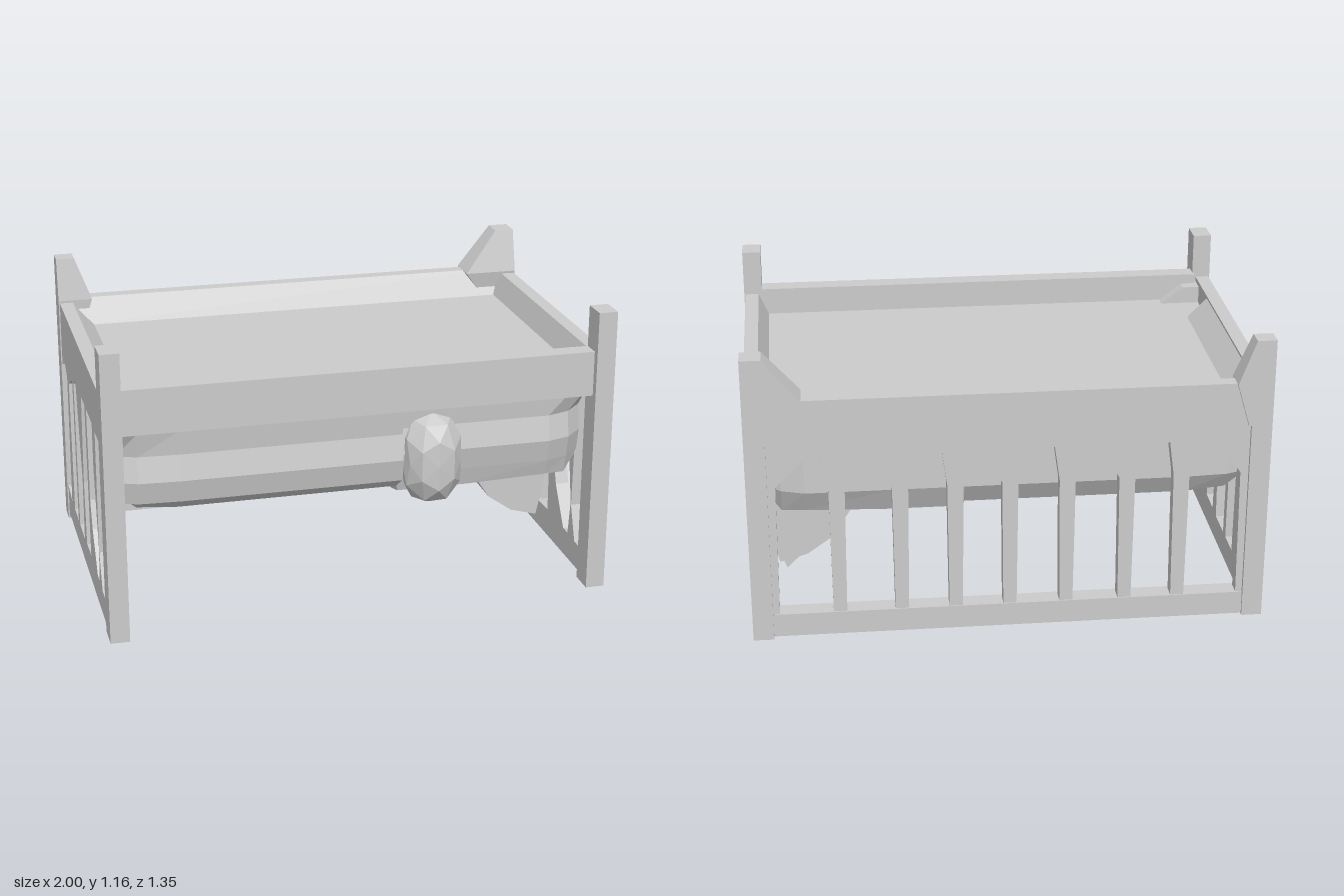
import * as THREE from 'three';

const material = new THREE.MeshStandardMaterial({ color: 0xcccccc, flatShading: true, side: THREE.DoubleSide });

export function createModel() {
  const model = new THREE.Group();

  const add = (name, geometry) => {
    const mesh = new THREE.Mesh(geometry, material);
    mesh.name = name;
    model.add(mesh);
    return mesh;
  };

  const box = (name, x0, x1, y0, y1, z0, z1) => {
    const mesh = add(name, new THREE.BoxGeometry(x1 - x0, y1 - y0, z1 - z0));
    mesh.position.set((x0 + x1) / 2, (y0 + y1) / 2, (z0 + z1) / 2);
  };

  const toShape = (points, holes = []) => {
    const shape = new THREE.Shape(points.map(p => new THREE.Vector2(...p)));
    shape.holes = holes.map(h => new THREE.Path(h.map(p => new THREE.Vector2(...p))));
    return shape;
  };

  // Outline in x,y pushed from z0 to z1
  const prismZ = (name, points, z0, z1, holes) => {
    const g = new THREE.ExtrudeGeometry(toShape(points, holes), { depth: z1 - z0, bevelEnabled: false });
    add(name, g.translate(0, 0, z0));
  };

  // Outline in z,y pushed from x0 to x1
  const prismX = (name, points, x0, x1, holes) => {
    const g = new THREE.ExtrudeGeometry(toShape(points, holes), { depth: x1 - x0, bevelEnabled: false });
    add(name, g.rotateY(-Math.PI / 2).translate(x1, 0, 0));
  };

  // Block whose bottom and top rectangles [x0, x1, z0, z1] differ
  const taper = (name, y0, y1, bottom, top) => {
    const g = new THREE.BoxGeometry(1, 1, 1);
    const p = g.attributes.position;
    for (let i = 0; i < p.count; i++) {
      const up = p.getY(i) > 0;
      const r = up ? top : bottom;
      p.setXYZ(i, p.getX(i) > 0 ? r[1] : r[0], up ? y1 : y0, p.getZ(i) > 0 ? r[3] : r[2]);
    }
    add(name, g);
  };

  // Skin a row of closed z,y cross-sections along x, with end caps
  const loft = (name, sections) => {
    const pos = [];
    const tri = (...corners) => corners.forEach(c => pos.push(...c));
    const rings = sections.map(([x, pts]) => pts.map(([z, y]) => [x, y, z]));
    const n = rings[0].length;
    rings.forEach((ring, r) => {
      const last = r === rings.length - 1;
      const centre = [ring[0][0], 0.72, 0];
      for (let i = 0; i < n; i++) {
        const j = (i + 1) % n;
        if (r === 0) tri(centre, ring[j], ring[i]);
        if (last) tri(centre, ring[i], ring[j]);
        else {
          const next = rings[r + 1];
          tri(ring[i], ring[j], next[i]);
          tri(ring[j], next[j], next[i]);
        }
      }
    });
    const g = new THREE.BufferGeometry();
    g.setAttribute('position', new THREE.Float32BufferAttribute(pos, 3));
    g.computeVertexNormals();
    add(name, g);
  };

  // Corner posts; the back ones flare where they meet the rails
  box('frontLeftPost', 0.925, 1, 0.01, 1.165, 0.54, 0.645);
  box('frontRightPost', -1, -0.925, 0.01, 1.165, 0.565, 0.675);
  box('backLeftPost', 0.92, 1, 0, 1, -0.675, -0.58);
  taper('backLeftPostUpper', 0.82, 0.99, [0.9, 1, -0.675, -0.57], [0.78, 1, -0.675, -0.54]);
  taper('backLeftPostTop', 0.99, 1.165, [0.78, 1, -0.675, -0.54], [0.92, 1, -0.675, -0.585]);
  box('backRightPost', -1, -0.92, 0, 1, -0.67, -0.58);
  taper('backRightPostUpper', 0.82, 0.99, [-1, -0.91, -0.67, -0.58], [-1, -0.86, -0.67, -0.57]);
  taper('backRightPostTop', 0.99, 1.165, [-1, -0.86, -0.67, -0.57], [-1, -0.925, -0.67, -0.595]);

  // Back panel with tapered slats and peaked openings
  const slats = [-0.92, -0.66, -0.45, -0.22, 0, 0.21, 0.42, 0.66, 0.92];
  const backHoles = [];
  for (let i = 0; i < slats.length - 1; i++) {
    const a = slats[i] + 0.026, b = slats[i + 1] - 0.026;
    const peak = i % 2 ? 0.3 : 0.65;
    backHoles.push([
      [a, 0.1], [b, 0.1], [b - 0.005, 0.64],
      [a + (b - a) * (peak + 0.15), 0.75], [a + (b - a) * (peak - 0.15), 0.76], [a + 0.005, 0.62],
    ]);
  }
  prismZ('backPanel', [[-0.96, 0.005], [0.96, 0.005], [0.96, 0.99], [-0.96, 0.99]], -0.655, -0.6, backHoles);
  box('backBottomRail', -0.95, 0.95, 0.005, 0.1, -0.66, -0.585);

  // End panels with uneven openings between the slats
  const endHoles = [
    [[0.535, 0.13], [0.46, 0.13], [0.405, 0.27], [0.42, 0.775], [0.535, 0.775]],
    [[0.38, 0.135], [0.33, 0.135], [0.225, 0.29], [0.185, 0.4], [0.18, 0.78], [0.34, 0.78], [0.335, 0.6], [0.4, 0.28]],
    [[0.14, 0.14], [0.015, 0.135], [0, 0.4], [0.03, 0.78], [0.13, 0.78]],
    [[-0.055, 0.13], [-0.2, 0.13], [-0.21, 0.75], [-0.14, 0.785], [-0.04, 0.4]],
    [[-0.245, 0.13], [-0.365, 0.13], [-0.38, 0.69], [-0.25, 0.75]],
    [[-0.46, 0.13], [-0.585, 0.155], [-0.585, 0.7], [-0.54, 0.78], [-0.43, 0.7]],
  ];
  const endOutline = [[0.6, 0.025], [-0.5, 0.025], [-0.62, 0.005], [-0.62, 0.98], [0.6, 0.98]];
  for (const [side, x0, x1] of [['left', 0.94, 0.995], ['right', -0.995, -0.94]]) {
    prismX(side + 'EndPanel', endOutline, x0, x1, endHoles);
  }

  // Sloping inner faces of the rim around the recessed top
  prismX('backRimSlope', [[-0.6, 0.99], [-0.6, 0.85], [-0.53, 0.85], [-0.53, 0.89]], -0.94, 0.94);
  prismZ('rightRimSlope', [[-0.94, 0.97], [-0.94, 0.85], [-0.86, 0.85], [-0.86, 0.89]], -0.6, 0.32);
  prismZ('leftRimSlope', [[0.94, 0.98], [0.94, 0.85], [0.9, 0.85], [0.9, 0.89]], -0.56, 0.56);
  taper('rimCornerBlock', 0.86, 0.96, [-0.94, -0.74, 0.49, 0.56], [-0.94, -0.87, 0.49, 0.56]);
  box('frontRail', -0.93, 0.93, 0.82, 1, 0.54, 0.615);

  // Body under the top: flat deck, soft sides and rounded belly
  const section = (low, inset, front) => [
    [0.57, 0.89], [0.6 - front, 0.82], [0.59 - front - inset, 0.72], [0.61 - front - inset, 0.62],
    [0.59 - front - inset, 0.53], [0.51 - inset, low + 0.025], [0.42 - inset, low],
    [-0.42 + inset, low], [-0.52 + inset, low + 0.035], [-0.57 + inset, 0.57],
    [-0.57 + inset, 0.72], [-0.6, 0.8], [-0.6, 0.89],
  ];
  loft('body', [
    [-0.94, section(0.52, 0.04, 0)],
    [-0.86, section(0.46, 0.01, 0)],
    [-0.7, section(0.45, 0, 0)],
    [0.165, section(0.45, 0, 0)],
    [0.17, section(0.43, 0, 0.06)],
    [0.45, section(0.43, 0, 0.06)],
    [0.78, section(0.44, 0, 0.06)],
    [0.87, section(0.43, 0.03, 0.06)],
    [0.94, section(0.5, 0.08, 0.08)],
  ]);

  // Crumpled bump in the front pocket
  const bump = new THREE.IcosahedronGeometry(1, 1);
  const bp = bump.attributes.position;
  for (let i = 0; i < bp.count; i++) {
    const y = bp.getY(i);
    const flare = 1 + 0.25 * Math.abs(y);
    bp.setXYZ(i, 0.3 + 0.12 * flare * bp.getX(i), 0.59 + 0.19 * y, 0.52 + 0.125 * bp.getZ(i) * flare);
  }
  add('frontBump', bump);

  // Fold hanging from the belly by the left end
  const fold = [[0.55, 0.47], [0.6, 0.34], [0.68, 0.22], [0.78, 0.15], [0.89, 0.12], [0.92, 0.25], [0.93, 0.5]];
  prismZ('hangingFold', fold, -0.26, 0.13);
  prismZ('hangingFoldBack', [[0.62, 0.47], [0.7, 0.3], [0.86, 0.14], [0.92, 0.3], [0.92, 0.47]], -0.35, -0.26);

  return model;
}
